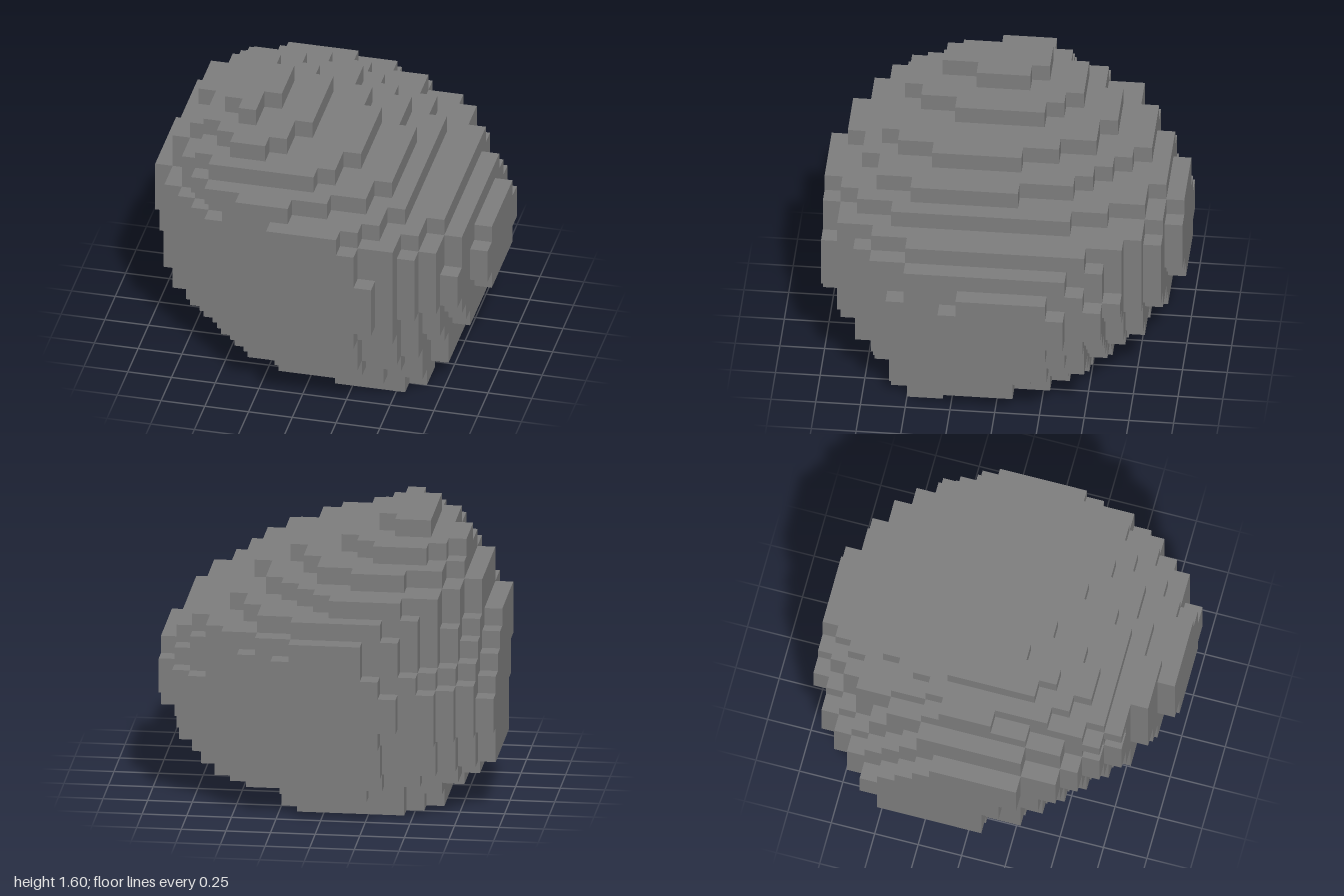
import * as THREE from 'three';

const NX = 19, NY = 16, NZ = 20, S = 0.1;

// Widest outline: x range of each row of blocks, back to front
const OUTLINE = [
  [5, 12], [3, 14], [2, 15], [1, 17], [0, 18], [0, 18],
  [0, 19], [0, 19], [0, 19], [0, 19], [0, 19], [0, 19], [0, 19],
  [1, 18], [1, 18], [2, 18], [2, 17], [4, 16], [6, 15], [8, 14],
];

export function createModel() {
  const cells = new Uint8Array(NX * NY * NZ);
  const at = (x, y, z) => (z * NY + y) * NX + x;
  const filled = (x, y, z) =>
    x >= 0 && y >= 0 && z >= 0 && x < NX && y < NY && z < NZ && cells[at(x, y, z)] === 1;

  // Row of blocks from x = a up to x = b
  const row = (y, z, [a, b]) => { for (let x = a; x < b; x++) cells[at(x, y, z)] = 1; };

  // Layer of blocks: a rectangle inside the outline whose corners are cut between
  // its four flat sides. left/right give the z range of those sides, back/front the x range.
  function layer(y, [x0, x1, z0, z1], left, right, back, front) {
    for (let z = z0; z < z1; z++) {
      const [a, b] = OUTLINE[z];
      for (let x = Math.max(x0, a); x < Math.min(x1, b); x++) {
        const cx = x + 0.5, cz = z + 0.5;
        const rim = x === x0 || x === x1 - 1 || z === z0 || z === z1 - 1;
        const outside = [
          [back[0] - cx, left[0] - cz, back[0] - x0, left[0] - z0],
          [cx - back[1], right[0] - cz, x1 - back[1], right[0] - z0],
          [front[0] - cx, cz - left[1], front[0] - x0, z1 - left[1]],
          [cx - front[1], cz - right[1], x1 - front[1], z1 - right[1]],
        ].some(([dx, dz, w, h]) => dx > 0 && dz > 0 &&
          (rim || (dx / w) ** 1.15 + (dz / h) ** 1.15 > 1));
        if (!outside) cells[at(x, y, z)] = 1;
      }
    }
  }

  // Two feet underneath
  [[5, 11], [4, 12], [3, 12], [3, 11], [3, 11], [3, 11], [6, 11], [6, 10], [6, 10]]
    .forEach((r, i) => row(0, 4 + i, r));
  [[12, 16], [10, 16], [11, 15]].forEach((r, i) => row(0, 13 + i, r));

  // Widening underside
  layer(1, [2, 17, 3, 17], [7, 10], [9, 14], [7, 10], [8, 14]);
  layer(2, [1, 17, 2, 18], [6, 11], [8, 14], [6, 10], [8, 13]);
  layer(3, [0, 18, 1, 19], [5, 11], [7, 13], [6, 10], [8, 13]);
  layer(4, [0, 18, 1, 19], [5, 11], [6, 14], [6, 11], [8, 13]);
  layer(5, [0, 19, 0, 20], [4, 11], [7, 12], [6, 10], [9, 13]);
  // Broad middle
  layer(6, [0, 19, 0, 20], [4, 12], [6, 13], [5, 11], [9, 14]);
  layer(7, [0, 19, 0, 20], [5, 12], [6, 13], [5, 12], [8, 14]);
  layer(8, [0, 19, 0, 20], [6, 13], [7, 12], [6, 12], [8, 14]);
  // Sloping top, peak to one side
  layer(9, [0, 18, 0, 20], [7, 13], [6, 15], [7, 12], [8, 13]);
  layer(10, [0, 17, 0, 20], [8, 13], [5, 15], [7, 11], [8, 13]);
  layer(11, [1, 15, 1, 20], [7, 13], [6, 16], [6, 11], [8, 12]);
  layer(12, [1, 14, 2, 19], [7, 13], [9, 15], [5, 9], [6, 9]);
  layer(13, [2, 12, 4, 17], [7, 13], [9, 14], [5, 8], [4, 10]);
  layer(14, [2, 9, 6, 16], [8, 11], [8, 13], [4, 7], [5, 7]);
  layer(15, [4, 7, 8, 14], [8, 13], [9, 12], [4, 6], [5, 6]);

  // Exposed block faces only
  const pos = [], nor = [], idx = [];
  for (let z = 0; z < NZ; z++) for (let y = 0; y < NY; y++) for (let x = 0; x < NX; x++) {
    if (!filled(x, y, z)) continue;
    for (let axis = 0; axis < 3; axis++) for (const s of [-1, 1]) {
      const n = [0, 0, 0];
      n[axis] = s;
      if (filled(x + n[0], y + n[1], z + n[2])) continue;
      const u = (axis + 1) % 3, v = (axis + 2) % 3, base = pos.length / 3;
      for (const [a, b] of [[0, 0], [1, 0], [1, 1], [0, 1]]) {
        const p = [x, y, z];
        p[axis] += s > 0 ? 1 : 0;
        p[u] += a;
        p[v] += b;
        pos.push((p[0] - NX / 2) * S, p[1] * S, (p[2] - NZ / 2) * S);
        nor.push(...n);
      }
      const order = s > 0 ? [0, 1, 2, 0, 2, 3] : [0, 2, 1, 0, 3, 2];
      idx.push(...order.map((i) => base + i));
    }
  }
  const geometry = new THREE.BufferGeometry();
  geometry.setAttribute('position', new THREE.Float32BufferAttribute(pos, 3));
  geometry.setAttribute('normal', new THREE.Float32BufferAttribute(nor, 3));
  geometry.setIndex(idx);

  const stone = new THREE.MeshStandardMaterial({ color: 0x7d7d7d });
  stone.name = 'stone grey';
  const boulder = new THREE.Mesh(geometry, stone);
  boulder.name = 'boulder';

  const group = new THREE.Group();
  group.name = 'blockyBoulder';
  group.add(boulder);
  return group;
}
